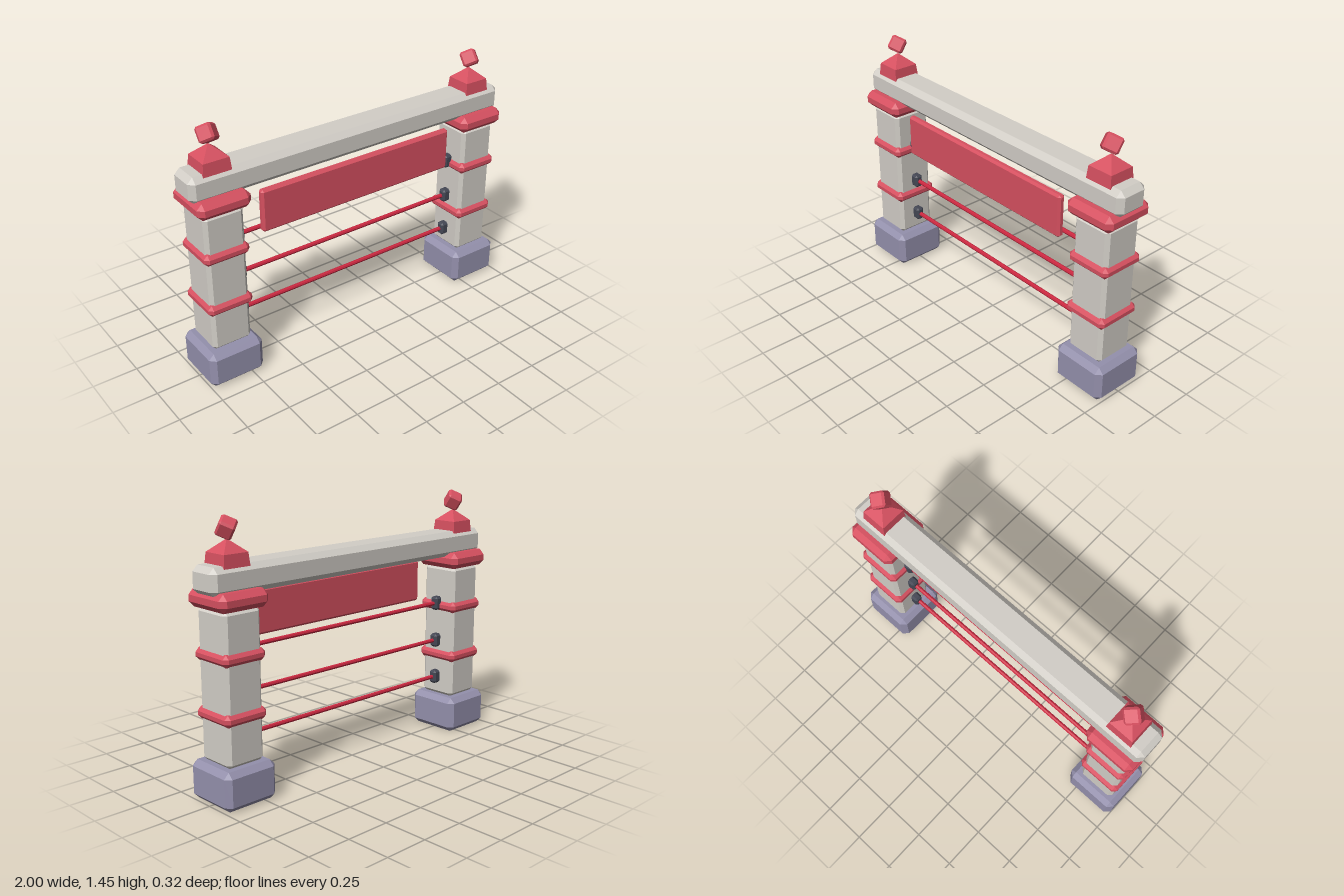
import * as THREE from 'three';
import { ConvexGeometry } from 'three/addons/geometries/ConvexGeometry.js';

const flat = (name, color) => {
  const m = new THREE.MeshStandardMaterial({ color });
  m.name = name;
  return m;
};

// Box with every edge chamfered by c
function chamferBox(w, h, d, c) {
  const half = [w / 2, h / 2, d / 2];
  const points = [];
  for (const sx of [-1, 1]) for (const sy of [-1, 1]) for (const sz of [-1, 1]) {
    for (let outer = 0; outer < 3; outer++) {
      const [x, y, z] = half.map((v, i) => (i === outer ? v : v - c));
      points.push(new THREE.Vector3(sx * x, sy * y, sz * z));
    }
  }
  return new ConvexGeometry(points);
}

export function createModel() {
  const stone = flat('pale stone', 0xd2cec7);
  const red = flat('red trim', 0xd65060);
  const slate = flat('slate base', 0x9490ac);
  const iron = flat('dark iron', 0x444754);
  const crimson = flat('crimson rail', 0xcb2840);

  const model = new THREE.Group();
  model.name = 'gate';

  const add = (parent, name, geometry, material, x, y, z = 0) => {
    const mesh = new THREE.Mesh(geometry, material);
    mesh.name = name;
    mesh.position.set(x, y, z);
    parent.add(mesh);
    return mesh;
  };

  // Four-sided finial foot: tapered block under a pyramid
  const r = Math.SQRT2;
  const footGeometry = new THREE.LatheGeometry(
    [[0, 0], [0.08 * r, 0], [0.073 * r, 0.075], [0, 0.14]].map(([a, b]) => new THREE.Vector2(a, b)), 4)
    .rotateY(Math.PI / 4).toNonIndexed();
  footGeometry.computeVertexNormals();

  const baseGeometry = chamferBox(0.32, 0.21, 0.32, 0.03);
  const shaftGeometry = chamferBox(0.227, 0.8, 0.227, 0.02);
  const bandGeometry = chamferBox(0.26, 0.066, 0.264, 0.022);
  const capGeometry = chamferBox(0.3, 0.094, 0.3, 0.03);
  const knobGeometry = chamferBox(0.086, 0.086, 0.086, 0.011);
  const bracketGeometry = chamferBox(0.055, 0.08, 0.05, 0.012);
  const railHeights = [0.325, 0.555, 0.785];

  // Mirrored posts
  for (const side of [-1, 1]) {
    const post = new THREE.Group();
    post.name = side > 0 ? 'leftPost' : 'rightPost';
    model.add(post);
    const x = side * 0.84;
    add(post, 'base', baseGeometry, slate, x, 0.105);
    add(post, 'shaft', shaftGeometry, stone, x, 0.608);
    add(post, 'lowerBand', bandGeometry, red, x, 0.462);
    add(post, 'upperBand', bandGeometry, red, x, 0.767);
    add(post, 'cap', capGeometry, red, x, 1.052);
    add(post, 'finialFoot', footGeometry, red, x, 1.2);
    // Knob balanced on one corner
    add(post, 'finialKnob', knobGeometry, red, x, 1.393).rotation.set(-0.615, Math.PI / 4, 0);
    for (const y of railHeights) {
      add(post, 'railBracket', bracketGeometry, iron, side * 0.708, y);
    }
  }

  // Top beam
  add(model, 'beam', chamferBox(2, 0.146, 0.19, 0.03), stone, 0, 1.148);

  // Blank hanging panel
  add(model, 'panel', chamferBox(1.234, 0.243, 0.042, 0.012), red, 0, 0.927, 0.083);

  // Horizontal rails
  const railGeometry = new THREE.CylinderGeometry(0.0125, 0.0125, 1.38, 8).rotateZ(Math.PI / 2).toNonIndexed();
  railGeometry.computeVertexNormals();
  for (const y of railHeights) add(model, 'rail', railGeometry, crimson, 0, y);

  return model;
}
